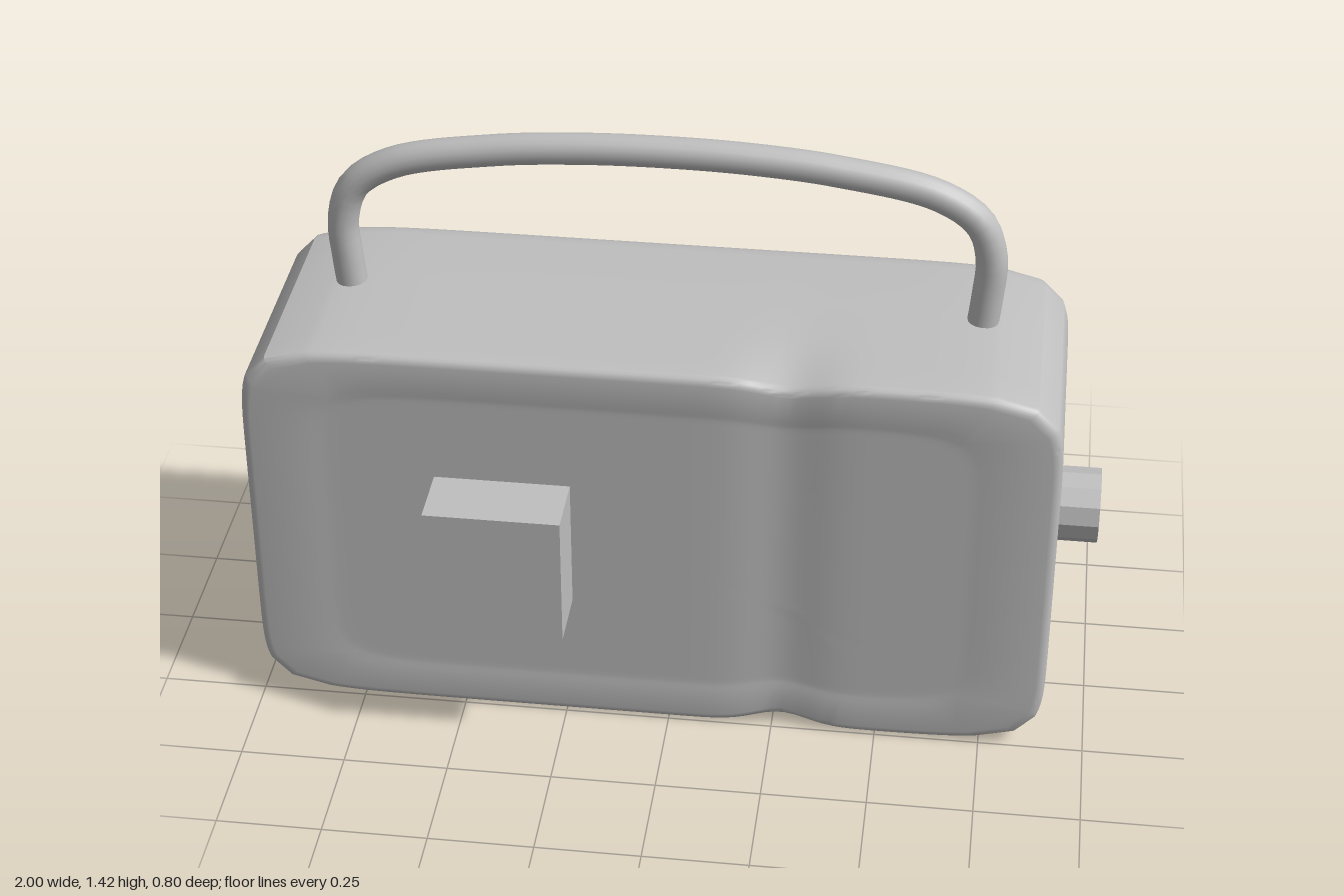
import * as THREE from 'three';
import { toCreasedNormals } from 'three/addons/utils/BufferGeometryUtils.js';

const grey = new THREE.MeshStandardMaterial({ color: 0xbfbfbf });
grey.name = 'plain grey';

const CX = -0.05, CY = 0.5, HX = 0.95, HY = 0.497, POWER = 10;

// Stations across one side of the body, finer than the corner step at each end
const T = [-1];
for (let i = 0; i <= 68; i++) T.push(-0.85 + i * 0.025);
T.push(1);

// Vertical groove between the large and the small front panel
const groove = (x) => Math.exp(-(((x - 0.27) / 0.09) ** 2));

// Point of a squarish cross-section; (a, b) lies in the square from -1 to 1
function bodyPoint(a, b, s, cap) {
  const m = Math.max(Math.abs(a), Math.abs(b));
  const k = m ? (Math.abs(a / m) ** POWER + Math.abs(b / m) ** POWER) ** (-1 / POWER) : 1;
  const hx = HX - s.inset, hy = HY - s.inset;
  const x = CX + a * k * hx;
  const g = groove(x) * s.front;
  const y = CY + b * k * hy * (1 - 0.05 * g);
  let z = s.z - 0.014 * g;
  if (cap && s.front) {
    // Slightly raised rim around a shallow panel
    const d = Math.min(hx * (1 - m), hy * (1 - m) * 1.3);
    z += 0.005 * THREE.MathUtils.smoothstep(d, 0, 0.04);
    z -= 0.01 * THREE.MathUtils.smoothstep(d, 0.04, 0.12);
  }
  return [x, y, z];
}

function bodyGeometry() {
  // Cross-sections from the well-rounded back to the tight front edge
  const sections = [];
  for (let i = 6; i >= 0; i--) {
    const q = (i / 6) * Math.PI / 2;
    sections.push({ z: -0.3 - 0.1 * Math.sin(q), inset: 0.1 * (1 - Math.cos(q)), front: 0 });
  }
  sections.push({ z: -0.1, inset: 0, front: 0 }, { z: 0.05, inset: 0, front: 0.15 });
  sections.push({ z: 0.15, inset: 0, front: 0.6 });
  for (let i = 0; i <= 4; i++) {
    const q = (i / 4) * Math.PI / 2;
    sections.push({ z: 0.228 + 0.022 * Math.sin(q), inset: 0.022 * (1 - Math.cos(q)), front: 1 });
  }

  const pos = [];
  const quad = (a, b, c, d) => pos.push(...a, ...b, ...c, ...a, ...c, ...d);

  // Outer skin
  const n = T.length - 1;
  const loop = [];
  for (let i = 0; i < n; i++) loop.push([T[i], -1]);
  for (let i = 0; i < n; i++) loop.push([1, T[i]]);
  for (let i = n; i > 0; i--) loop.push([T[i], 1]);
  for (let i = n; i > 0; i--) loop.push([-1, T[i]]);
  const rings = sections.map((s) => loop.map(([a, b]) => bodyPoint(a, b, s, false)));
  for (let k = 0; k < rings.length - 1; k++) {
    for (let i = 0; i < loop.length; i++) {
      const j = (i + 1) % loop.length;
      quad(rings[k][i], rings[k][j], rings[k + 1][j], rings[k + 1][i]);
    }
  }

  // Front and back faces
  for (const s of [sections[0], sections[sections.length - 1]]) {
    const grid = T.map((b) => T.map((a) => bodyPoint(a, b, s, true)));
    for (let r = 0; r < n; r++) {
      for (let c = 0; c < n; c++) {
        const p = [grid[r][c], grid[r][c + 1], grid[r + 1][c + 1], grid[r + 1][c]];
        if (!s.front) p.reverse();
        quad(...p);
      }
    }
  }
  const geo = new THREE.BufferGeometry();
  geo.setAttribute('position', new THREE.Float32BufferAttribute(pos, 3));
  return toCreasedNormals(geo, 0.5);
}

export function createModel() {
  const model = new THREE.Group();
  model.name = 'portableRadio';
  const add = (name, geo, x = 0, y = 0, z = 0) => {
    const mesh = new THREE.Mesh(geo, grey);
    mesh.name = name;
    mesh.position.set(x, y, z);
    model.add(mesh);
    return mesh;
  };

  add('body', bodyGeometry());

  // Carrying handle, mirrored about the middle of the body
  const half = [[-0.742, 0.96], [-0.752, 1.06], [-0.756, 1.16], [-0.725, 1.25],
    [-0.63, 1.315], [-0.4, 1.362], [-0.2, 1.38]];
  const path = [...half, [0, 1.385], ...half.map(([x, y]) => [-x, y]).reverse()];
  const curve = new THREE.CatmullRomCurve3(path.map(([x, y]) => new THREE.Vector3(x, y, 0)));
  add('handle', new THREE.TubeGeometry(curve, 72, 0.037, 16), CX, 0, -0.085);

  // Square block on the front
  add('frontButton', new THREE.BoxGeometry(0.32, 0.33, 0.18), -0.39, 0.505, 0.31);

  // Twelve-sided knob on the side
  const knob = new THREE.CylinderGeometry(0.09, 0.09, 0.14, 12).toNonIndexed();
  knob.computeVertexNormals();
  add('sideKnob', knob, 0.93, 0.5, -0.07).rotation.z = -Math.PI / 2;

  return model;
}
